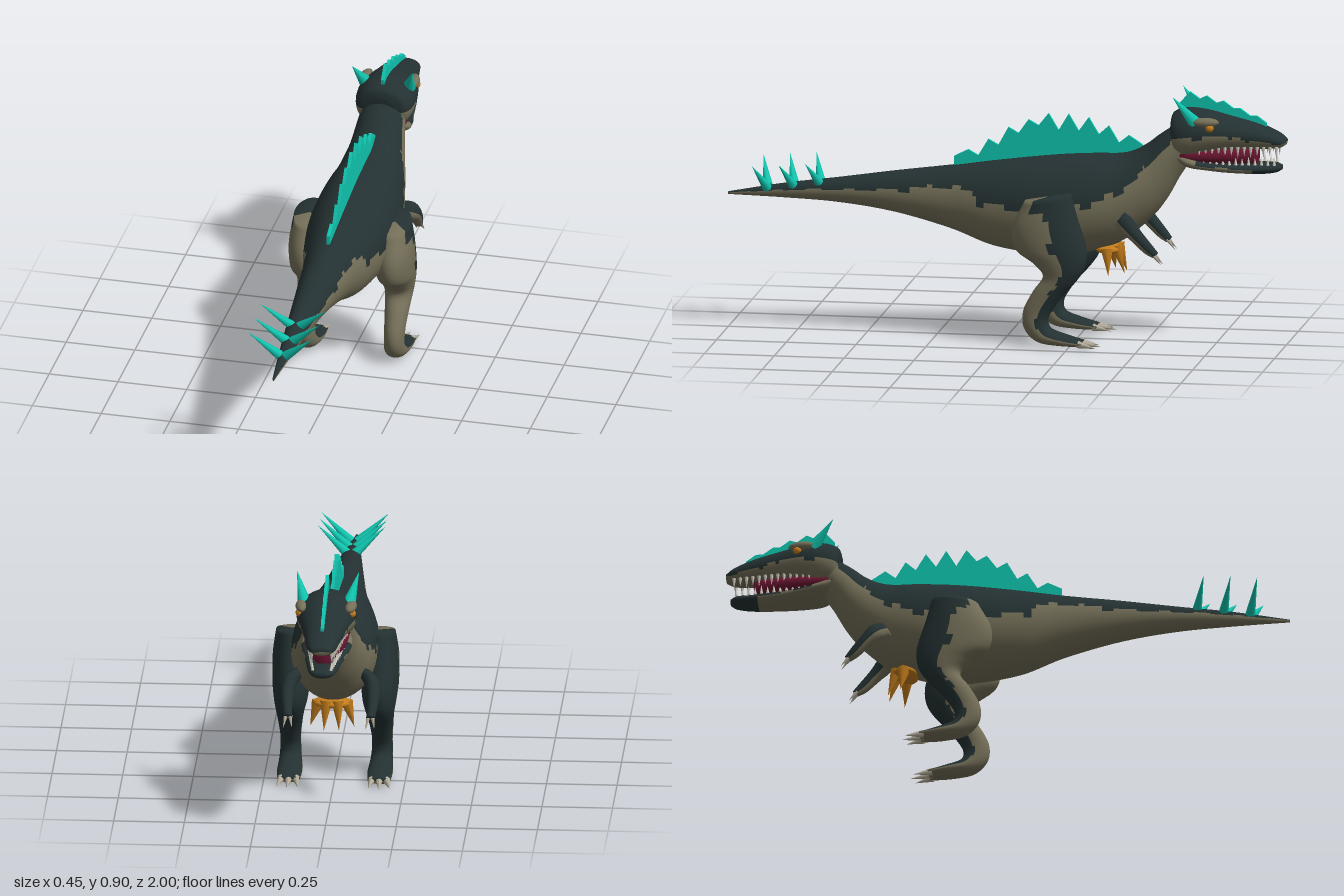
import * as THREE from 'three';

const mat = (name, color) => {
  const m = new THREE.MeshStandardMaterial({ color });
  m.name = name;
  return m;
};

export function createModel() {
  const hide = mat('dark hide', 0x243132);
  const belly = mat('taupe belly', 0x757059);
  const teal = mat('teal spines', 0x10c4ae);
  const amber = mat('amber spikes', 0xc47d1c);
  const bone = mat('bone claws', 0xb3ac9a);
  const ivory = mat('ivory teeth', 0xd8d5c8);
  const flesh = mat('mouth red', 0x6a1530);
  const root = new THREE.Group();
  root.name = 'spinedDinosaur';

  const add = (name, geo, material, parent = root) => {
    const m = new THREE.Mesh(geo, material);
    m.name = name;
    parent.add(m);
    return m;
  };

  // Smooth loft. Each section: [upper z, upper y, lower z, lower y, half width, centre x].
  // isDark(c, s, p) picks the hide colour from cos/sin around the section and the position.
  function loft(name, rows, steps, sides, isDark, parent, mats = [hide, belly]) {
    const curve = f => new THREE.CatmullRomCurve3(rows.map(f), false, 'catmullrom', 0.5);
    const A = curve(r => new THREE.Vector3(r[5] || 0, r[1], r[0]));
    const B = curve(r => new THREE.Vector3(r[5] || 0, r[3], r[2]));
    const W = curve(r => new THREE.Vector3(r[4], 0, 0));
    const pos = [], lists = [[], []];
    const mids = [];
    for (let i = 0; i <= steps; i++) {
      const t = i / steps, a = A.getPoint(t), b = B.getPoint(t), w = W.getPoint(t).x;
      const mid = a.clone().add(b).multiplyScalar(0.5), half = a.clone().sub(b).multiplyScalar(0.5);
      mids.push(mid);
      for (let j = 0; j < sides; j++) {
        const th = (j / sides) * Math.PI * 2, c = Math.cos(th);
        pos.push(mid.x + Math.sin(th) * w, mid.y + half.y * c, mid.z + half.z * c);
      }
    }
    for (let i = 0; i < steps; i++) for (let j = 0; j < sides; j++) {
      const k = (j + 1) % sides, a = i * sides + j, b = i * sides + k, c = a + sides, d = b + sides;
      const th = ((j + 0.5) / sides) * Math.PI * 2;
      const p = new THREE.Vector3(pos[a * 3], pos[a * 3 + 1], pos[a * 3 + 2]);
      lists[isDark(Math.cos(th), Math.sin(th), p) ? 0 : 1].push(a, b, c, b, d, c);
    }
    // End caps
    for (const i of [0, steps]) {
      const centre = pos.length / 3;
      pos.push(mids[i].x, mids[i].y, mids[i].z);
      for (let j = 0; j < sides; j++) {
        const a = i * sides + j, b = i * sides + (j + 1) % sides;
        const dark = isDark(Math.cos((j / sides) * Math.PI * 2), 0, mids[i]);
        lists[dark ? 0 : 1].push(...(i ? [a, b, centre] : [b, a, centre]));
      }
    }
    const g = new THREE.BufferGeometry();
    g.setAttribute('position', new THREE.Float32BufferAttribute(pos, 3));
    g.setIndex([...lists[0], ...lists[1]]);
    g.addGroup(0, lists[0].length, 0);
    g.addGroup(lists[0].length, lists[1].length, 1);
    g.computeVertexNormals();
    return add(name, g, mats, parent);
  }

  // Cone from a base point to a tip
  function spike(name, base, tip, r, sides, material, parent) {
    const a = new THREE.Vector3(...base), b = new THREE.Vector3(...tip), d = b.clone().sub(a);
    const m = add(name, new THREE.ConeGeometry(r, d.length(), sides), material, parent);
    m.position.copy(a).add(b).multiplyScalar(0.5);
    m.quaternion.setFromUnitVectors(new THREE.Vector3(0, 1, 0), d.normalize());
  }

  // Thin upright fin; points are [z, y]
  function fin(name, pts, thick) {
    const g = new THREE.ExtrudeGeometry(new THREE.Shape(pts.map(([z, y]) => new THREE.Vector2(-z, y))),
      { depth: thick, bevelEnabled: false });
    g.translate(0, 0, -thick / 2).rotateY(Math.PI / 2);
    add(name, g, teal);
  }

  const ragged = z => 0.07 * Math.sin(z * 47) + 0.05 * Math.sin(z * 113 + 1);

  // Tail, trunk and neck
  loft('body', [
    [1, .49, 1, .48, .004], [.8, .527, .8, .475, .025], [.6, .555, .6, .465, .045],
    [.4, .585, .4, .437, .066], [.2, .612, .2, .385, .092], [.05, .635, .05, .33, .125],
    [-.1, .655, -.1, .307, .15], [-.22, .668, -.22, .305, .155], [-.33, .675, -.32, .325, .148],
    [-.4, .677, -.42, .365, .132], [-.45, .687, -.52, .45, .115], [-.5, .712, -.575, .52, .1],
    [-.55, .75, -.62, .6, .089], [-.61, .79, -.66, .66, .08],
  ], 130, 48, (c, s, p) => {
    const z = p.z;
    const edge = z > .1 ? .2 + .25 * Math.exp(-(((z - .22) / .12) ** 2)) : z > -.3 ? .05 : .05 + (-.3 - z) * 1.4;
    return c > edge + ragged(z);
  });

  // Skull, lower jaw and mouth lining
  const head = new THREE.Group();
  head.name = 'head';
  root.add(head);
  loft('skull', [
    [-.588, .80, -.6, .69, .05], [-.6, .832, -.615, .667, .09], [-.65, .85, -.66, .665, .106],
    [-.72, .845, -.72, .685, .103], [-.8, .826, -.8, .7, .085], [-.9, .8, -.9, .707, .064],
    [-.97, .77, -.97, .712, .05], [-1, .748, -1, .725, .03],
  ], 50, 36, (c, s, p) => c > (p.z < -.85 ? -.25 : -.05) + ragged(p.z), head);
  loft('lowerJaw', [
    [-.6, .715, -.625, .65, .075], [-.66, .69, -.66, .635, .09], [-.72, .672, -.72, .628, .085],
    [-.8, .664, -.8, .62, .07], [-.9, .66, -.9, .618, .055], [-.96, .66, -.96, .624, .042],
    [-.985, .652, -.985, .635, .02],
  ], 36, 28, (c, s, p) => p.z < -.9 + ragged(p.z) * .5 || (c > .1 + ragged(p.z) && p.z < -.68), head);
  loft('mouthLining', [
    [-.63, .725, -.63, .645, .08], [-.75, .725, -.75, .645, .074], [-.85, .73, -.85, .645, .048],
    [-.9, .73, -.9, .645, .03],
  ], 12, 20, () => true, head, [flesh, flesh]);

  for (const s of [1, -1]) {
    const side = s > 0 ? 'left' : 'right';
    // Teeth along both jaws
    for (let i = 0; i < 13; i++) {
      const t = i / 12, z = -.7 - .27 * t, x = s * (.072 - .037 * t), h = i % 2 ? .024 : .032;
      spike('upperTooth', [x, .722, z], [x * 1.04, .712 - h, z], .007, 6, ivory, head);
      spike('lowerTooth', [x * .92, .655, z + .008], [x, .664 + h * .75, z + .008], .006, 6, ivory, head);
    }
    // Brow ridge, eye and horn
    const brow = add(side + 'Brow', new THREE.SphereGeometry(1, 16, 10), belly, head);
    brow.scale.set(.02, .017, .048);
    brow.position.set(s * .088, .812, -.725);
    brow.rotation.y = s * .12;
    const eye = add(side + 'Eye', new THREE.SphereGeometry(.015, 14, 10), amber, head);
    eye.position.set(s * .092, .793, -.74);
    spike(side + 'Horn', [s * .078, .808, -.685], [s * .11, .905, -.61], .025, 8, teal, head);

    // Leg, dark in front and pale behind
    const leg = new THREE.Group();
    leg.name = side + 'Leg';
    root.add(leg);
    const x = v => s * v;
    loft('hindLeg', [
      [-.255, .555, -.09, .525, .056, x(.155)], [-.28, .46, -.045, .43, .067, x(.157)],
      [-.31, .36, -.055, .35, .067, x(.157)], [-.305, .29, -.12, .3, .06, x(.157)],
      [-.275, .24, -.155, .255, .05, x(.159)], [-.23, .19, -.12, .2, .043, x(.161)],
      [-.19, .135, -.085, .13, .037, x(.162)], [-.175, .1, -.088, .065, .037, x(.162)],
      [-.185, .068, -.135, .018, .041, x(.161)], [-.24, .046, -.215, .006, .045, x(.16)],
      [-.3, .028, -.295, .005, .04, x(.16)],
    ], 60, 32, (c, sn, p) => c > .12 + ragged(p.y) || (p.y > .5 && c > -.5), leg);
    for (const k of [-1, 0, 1])
      spike('toeClaw', [x(.16 + k * .026), .017, -.285], [x(.163 + k * .038), .006, -.365 + Math.abs(k) * .015],
        .014, 8, bone, leg);

    // Small arm with claws
    const arm = new THREE.Group();
    arm.name = side + 'Arm';
    root.add(arm);
    loft('foreArm', [
      [-.44, .485, -.405, .44, .026, x(.118)], [-.475, .465, -.435, .415, .028, x(.143)],
      [-.505, .425, -.47, .39, .024, x(.152)], [-.545, .375, -.515, .348, .018, x(.15)],
      [-.565, .348, -.545, .33, .015, x(.146)],
    ], 24, 20, (c, sn, p) => c > -.3 + ragged(p.z), arm);
    for (const k of [-1, 1])
      spike('fingerClaw', [x(.146 + k * .008), .342, -.55], [x(.146 + k * .015), .305, -.58], .008, 6, bone, arm);

    // Tail spikes
    for (const z of [.67, .765, .86])
      spike(side + 'TailSpike', [s * .012, .53 - (z - .67) * .1, z], [s * .12, .622 - (z - .67) * .08, z + .035],
        .018, 8, teal);

    // Hanging belly spikes
    spike(side + 'OuterBellySpike', [s * .05, .335, -.365], [s * .078, .245, -.375], .024, 6, amber);
    spike(side + 'InnerBellySpike', [s * .02, .345, -.395], [s * .027, .245, -.425], .022, 6, amber);
  }
  const band = add('bellyBand', new THREE.SphereGeometry(1, 14, 8), amber);
  band.scale.set(.07, .018, .05);
  band.position.set(0, .332, -.365);

  // Back sail
  const sail = [[.19, .59], [.19, .645]];
  [.67, .71, .755, .785, .81, .81, .8, .772, .74].forEach((y, i) => {
    const z = .14 - i * .072;
    sail.push([z, y], [z - .036, y - (i < 4 ? .02 : .06)]);
  });
  sail[sail.length - 1] = [-.485, .708];
  sail.push([-.47, .67], [-.3, .65], [0, .62]);
  fin('backSail', sail, .012);

  // Head crest
  const crest = [[-.62, .82], [-.615, .86]];
  [.905, .892, .875, .85, .825].forEach((y, i) => {
    const z = -.655 - i * .06;
    crest.push([z, y], [z - .035, y - .025]);
  });
  crest.push([-.93, .78], [-.75, .81]);
  fin('headCrest', crest, .012);

  return root;
}
